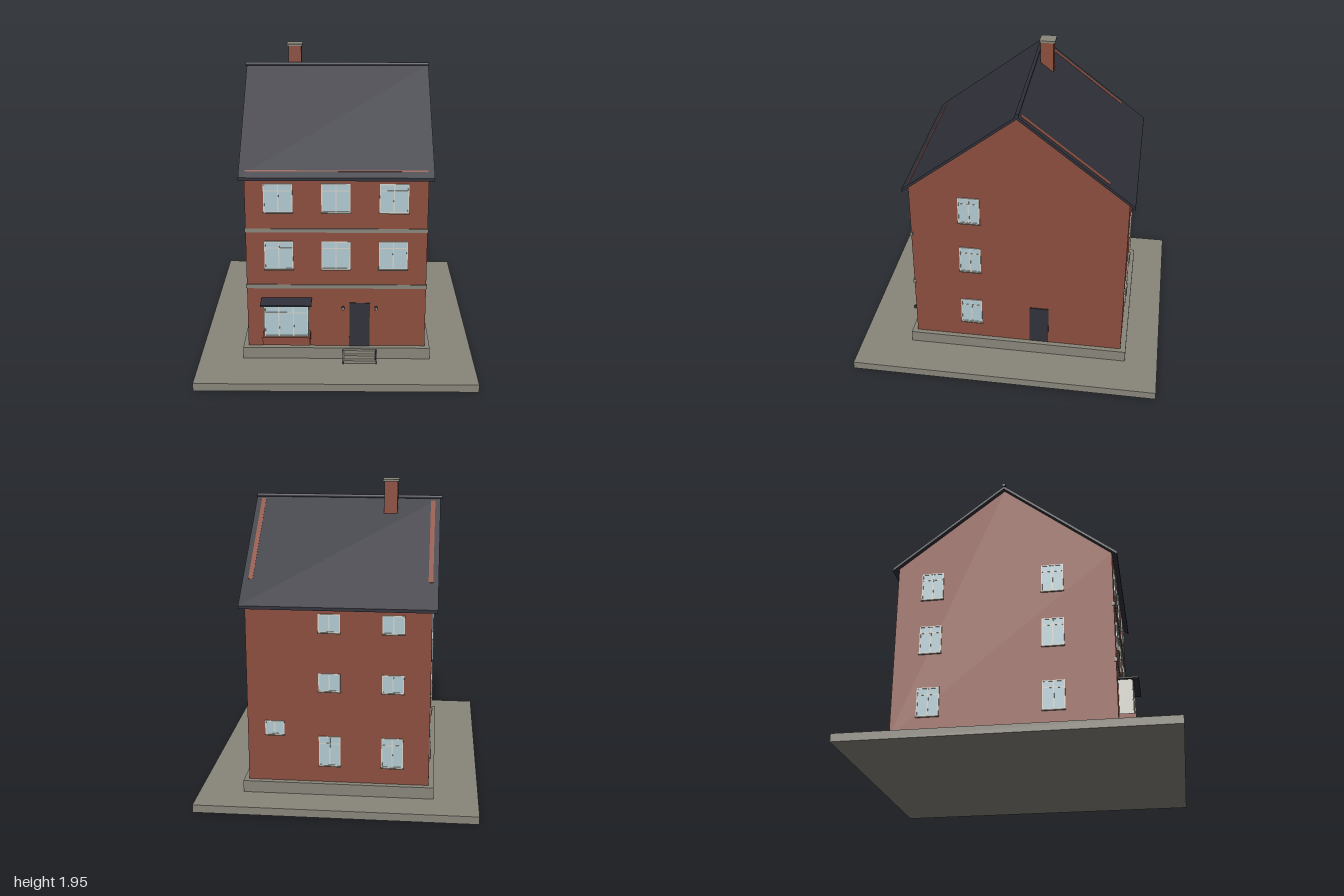
import * as THREE from 'three';

export function createModel() {
  const house = new THREE.Group();
  house.name = 'house';
  const mat = (name, color) => {
    const m = new THREE.MeshStandardMaterial({ color });
    m.name = name;
    return m;
  };
  const brick = mat('brick', 0x8b4d3d);
  const stone = mat('stone', 0x88857a);
  const slate = mat('slate', 0x30313a);
  const glass = mat('glass', 0xb0c8d0);
  const paint = mat('cream paint', 0xd2d2c9);

  const add = (parent, name, geo, m) => {
    const mesh = new THREE.Mesh(geo, m);
    mesh.name = name;
    parent.add(mesh);
    return mesh;
  };
  // Box given by its minimum and maximum on each axis
  const box = (parent, name, m, x0, x1, y0, y1, z0, z1) => {
    const mesh = add(parent, name, new THREE.BoxGeometry(x1 - x0, y1 - y0, z1 - z0), m);
    mesh.position.set((x0 + x1) / 2, (y0 + y1) / 2, (z0 + z1) / 2);
    return mesh;
  };
  // Outline in (z, y), extruded along x and centred on x = 0
  const prism = (parent, name, m, pts, width) => {
    const shape = new THREE.Shape(pts.map(p => new THREE.Vector2(...p)));
    const geo = new THREE.ExtrudeGeometry(shape, { depth: width, bevelEnabled: false });
    geo.translate(0, 0, -width / 2).rotateY(-Math.PI / 2);
    return add(parent, name, geo, m);
  };

  // Ground slab, plinth and brick body with gables
  const midZ = -0.06, front = 0.63, back = -0.75, side = 0.565;
  box(house, 'groundSlab', stone, -0.875, 0.875, 0, 0.05, -1, 1);
  box(house, 'plinth', stone, -0.597, 0.597, 0.05, 0.125, -0.785, 0.665);
  prism(house, 'walls', brick, [[back, 0.125], [front, 0.125], [front, 1.27],
    [midZ, 1.805], [back, 1.27]], side * 2);

  // Stone bands across the front
  for (const y of [0.525, 0.9]) {
    box(house, 'stoneBand', stone, -0.57, 0.57, y, y + 0.025, front - 0.01, front + 0.007);
  }

  // Pitched roof with ridge tiles
  const eaveZ = 0.725, eaveY = 1.263, ridgeY = 1.823;
  const slope = Math.atan2(ridgeY - eaveY, eaveZ);
  prism(house, 'roof', slate, [
    [midZ + eaveZ, eaveY], [midZ, ridgeY], [midZ - eaveZ, eaveY],
    [midZ - eaveZ, eaveY - 0.02], [midZ, ridgeY - 0.02], [midZ + eaveZ, eaveY - 0.02],
  ], 1.195);
  const ridge = add(house, 'ridge', new THREE.CylinderGeometry(0.012, 0.012, 1.205, 10), slate);
  ridge.rotation.z = Math.PI / 2;
  ridge.position.set(-0.005, 1.827, midZ);

  // Thin brick strips showing on the roof surface
  const roofY = z => ridgeY - Math.abs(z - midZ) * Math.tan(slope);
  const roofStrip = (name, m, x, width, z0, z1, tilt) => {
    const zc = (z0 + z1) / 2;
    const geo = new THREE.BoxGeometry(width, 0.004, (z1 - z0) / Math.cos(slope));
    const strip = add(house, name, geo, m);
    strip.position.set(x, roofY(zc), zc);
    strip.rotation.x = tilt * slope;
  };
  for (const x of [-0.55, 0.55]) roofStrip('gableStrip', brick, x, 0.028, -0.62, -0.08, -1);
  roofStrip('eaveStrip', brick, 0, 1.12, 0.621, 0.628, 1);

  // Chimney
  box(house, 'chimney', brick, -0.325, -0.24, 1.7, 1.94, -0.175, -0.09);
  box(house, 'chimneyCap', stone, -0.335, -0.232, 1.94, 1.953, -0.186, -0.082);

  // Window facing +z, standing on its sill at the local origin
  const windowUnit = (w, h, panes, transom, sill = true) => {
    const g = new THREE.Group();
    g.name = 'window';
    const bar = (x0, x1, y0, y1, d = 0.007) => box(g, 'frameBar', paint, x0, x1, y0, y1, 0, d);
    const t = 0.007, r = w / 2;
    box(g, 'glass', glass, -r, r, 0, h, -0.002, 0.003);
    bar(-r, -r + t, 0, h);
    bar(r - t, r, 0, h);
    bar(-r + t, r - t, 0, t);
    bar(-r + t, r - t, h - t, h);
    for (let i = 1; i < panes; i++) {
      const x = -r + w * i / panes;
      bar(x - 0.004, x + 0.004, t, h - t, 0.006);
    }
    if (transom) bar(-r + t, r - t, h * 0.74, h * 0.74 + 0.006, 0.005);
    if (sill) box(g, 'sill', stone, -r - 0.003, r + 0.003, -0.006, 0.001, 0, 0.011);
    return g;
  };
  const place = (g, x, y, z, turn = 0) => {
    g.position.set(x, y, z);
    g.rotation.y = turn;
    house.add(g);
  };

  // Front windows
  for (const y of [0.655, 1.03]) {
    for (const x of [-0.36, -0.003, 0.355]) place(windowUnit(0.18, 0.186, 2, true), x, y, front);
  }
  // Side windows: one column on the left, two on the right
  for (const y of [0.24, 0.655, 1.03]) {
    place(windowUnit(0.14, 0.186, 2, true), side, y, 0.25, Math.PI / 2);
    for (const z of [0.25, -0.52]) {
      place(windowUnit(0.14, 0.186, 2, true), -side, y, z, -Math.PI / 2);
    }
  }
  // Back windows
  for (const x of [0.053, -0.336]) {
    place(windowUnit(0.135, 0.195, 2, true), x, 0.235, back, Math.PI);
    for (const y of [0.725, 1.1]) place(windowUnit(0.135, 0.115, 2, false), x, y, back, Math.PI);
  }
  place(windowUnit(0.12, 0.09, 2, false), 0.395, 0.433, back, Math.PI);

  // Bay window with brick base and flat canopy
  box(house, 'bayBase', brick, -0.465, -0.165, 0.175, 0.228, front - 0.01, 0.73);
  box(house, 'bayBody', paint, -0.455, -0.175, 0.228, 0.45, front - 0.01, 0.712);
  box(house, 'bayRoof', slate, -0.475, -0.155, 0.45, 0.46, front - 0.01, 0.755);
  place(windowUnit(0.275, 0.215, 3, true, false), -0.315, 0.231, 0.711);

  // Doors
  const door = (w, h) => {
    const g = new THREE.Group();
    g.name = 'door';
    box(g, 'doorLeaf', slate, -w / 2, w / 2, 0, h, -0.002, 0.007);
    const knob = add(g, 'doorKnob', new THREE.SphereGeometry(0.005, 8, 6), stone);
    knob.position.set(w / 2 - 0.014, h * 0.45, 0.01);
    return g;
  };
  place(door(0.13, 0.3), 0.147, 0.125, front);
  place(door(0.125, 0.272), side, 0.13, -0.203, Math.PI / 2);

  // Wall lamps beside the front door
  for (const x of [0.042, 0.252]) {
    box(house, 'lampBracket', slate, x - 0.003, x + 0.003, 0.387, 0.403, front, front + 0.014);
    const lamp = add(house, 'lampGlass', new THREE.CylinderGeometry(0.009, 0.006, 0.02, 8), paint);
    lamp.position.set(x, 0.39, front + 0.016);
    const cap = add(house, 'lampCap', new THREE.ConeGeometry(0.011, 0.008, 8), slate);
    cap.position.set(x, 0.404, front + 0.016);
  }

  // Front steps between stepped dark side plates
  for (let i = 0; i < 3; i++) {
    box(house, 'step', stone, 0.047, 0.248, 0.05, 0.068 + i * 0.024, 0.66, 0.73 - i * 0.022);
  }
  for (const x of [0.044, 0.252]) {
    const plate = prism(house, 'stepSide', slate, [[0.66, 0.05], [0.737, 0.05], [0.737, 0.07],
      [0.685, 0.115], [0.66, 0.115]], 0.007);
    plate.position.x = x;
  }

  return house;
}
